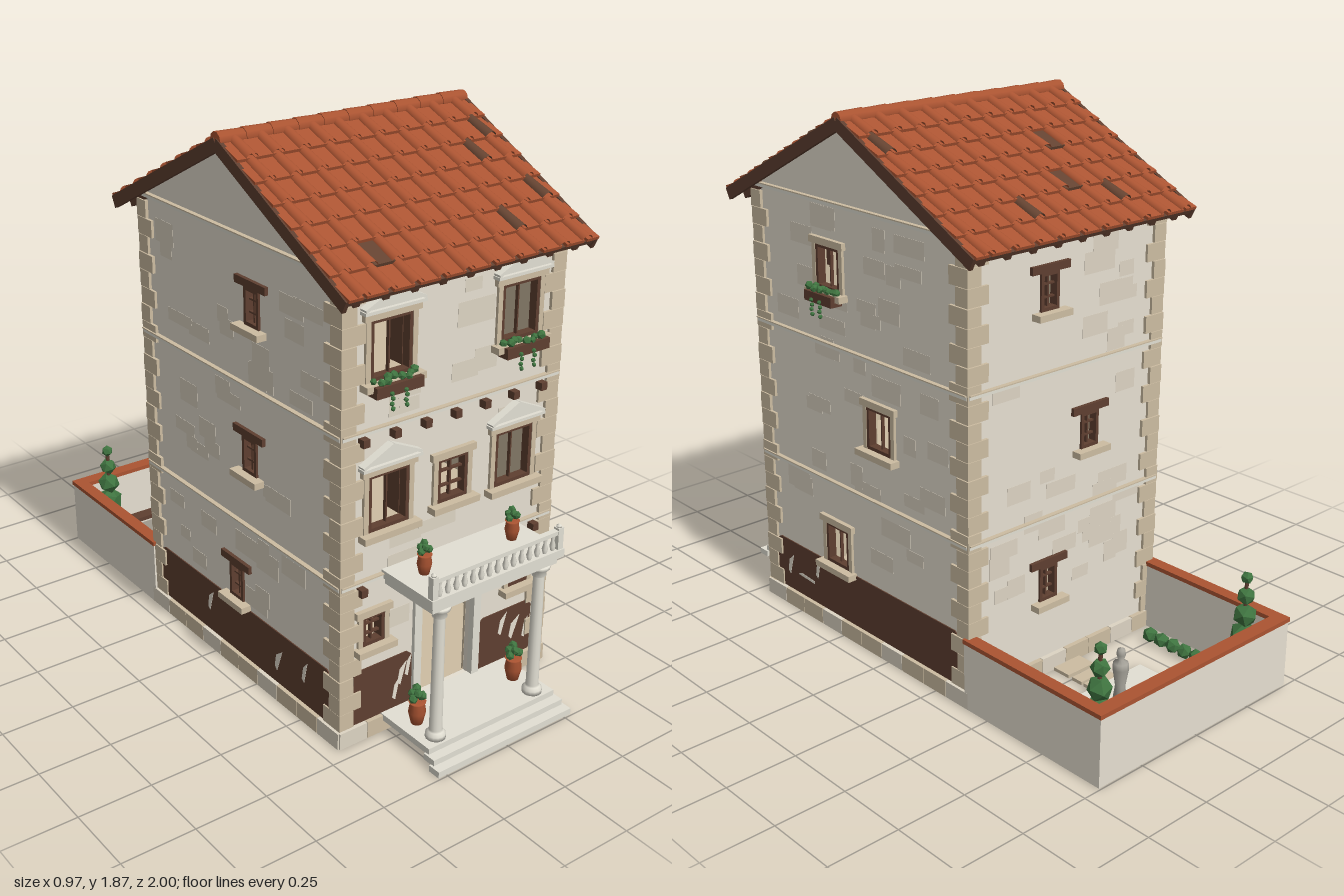
import * as THREE from 'three';

const mat = (name, color) => Object.assign(new THREE.MeshStandardMaterial({ color, side: THREE.DoubleSide }), { name });
const M = {
  plaster: mat('plaster', 0xe6dfd1), patch: mat('plaster patch', 0xddd4c3), stone: mat('sandstone', 0xcdbda2),
  marble: mat('pale stone', 0xe2dfd3), tile: mat('terracotta', 0xab5432), oldTile: mat('weathered tile', 0x654331),
  wood: mat('dark wood', 0x5f3f30), floor: mat('dark floor', 0x3c2922), leaf: mat('foliage', 0x3f7440), grey: mat('grey stone', 0xa8a59c),
};
let seed = 7;
const rnd = () => (seed = (seed * 16807) % 2147483647) / 2147483647;

function add(parent, name, geo, m, x = 0, y = 0, z = 0) {
  const mesh = new THREE.Mesh(geo, m);
  mesh.name = name;
  mesh.position.set(x, y, z);
  parent.add(mesh);
  return mesh;
}
const box = (p, name, m, w, h, d, x, y, z) => add(p, name, new THREE.BoxGeometry(w, h, d), m, x, y, z);
// box given by its extents
const span = (p, name, m, x0, x1, y0, y1, z0, z1) =>
  box(p, name, m, x1 - x0, y1 - y0, z1 - z0, (x0 + x1) / 2, (y0 + y1) / 2, (z0 + z1) / 2);
const poly = pts => new THREE.Shape(pts.map(([x, y]) => new THREE.Vector2(x, y)));
const plate = (p, name, m, pts, depth, z) => add(p, name, new THREE.ExtrudeGeometry(poly(pts), { depth, bevelEnabled: false }), m, 0, 0, z);
const leafBall = (p, r, x, y, z) => add(p, 'foliage', new THREE.IcosahedronGeometry(r, 0), M.leaf, x, y, z).rotation.set(rnd() * 3, rnd() * 3, 0);
const lathe = (p, name, m, pts, x, y, z, n = 12) =>
  add(p, name, new THREE.LatheGeometry(pts.map(([r, h]) => new THREE.Vector2(r, h)), n), m, x, y, z);

const HX = 0.425, HZ = 0.545, CZ = 0.145, PITCH = 0.475, EAVE = 1.54;
const APEX = EAVE + HZ * Math.tan(PITCH);

// ---- windows, in wall space: x along the wall, z outward ----
function flowerBox(p, x, y, w) {
  box(p, 'flowerBox', M.wood, w, 0.035, 0.045, x, y, 0.03);
  for (let i = 0; i < 9; i++) leafBall(p, 0.011 + rnd() * 0.005, x + (i / 8 - 0.5) * w * 0.9, y + 0.022 + rnd() * 0.008, 0.03 + (rnd() - 0.5) * 0.03);
  for (const dx of [-0.2, 0.1]) for (let j = 0; j < 4; j++) leafBall(p, 0.008, x + dx * w + (j % 2) * 0.004, y - 0.008 - j * 0.016, 0.056);
}

function windowUnit(wall, o) {
  const g = new THREE.Group();
  g.name = 'window';
  g.position.set(o.x, o.y, 0);
  wall.add(g);
  const w = o.w / 2, h = o.h / 2, t = 0.012;
  for (const s of [-1, 1]) {
    box(g, 'frameSide', M.wood, t, o.h, 0.03, s * (w - t / 2), 0, -0.007);
    box(g, 'frameRail', M.wood, o.w, t, 0.03, 0, s * (h - t / 2), -0.007);
    if (o.style !== 'rustic') box(g, 'jamb', M.stone, 0.018, o.h, 0.012, s * (w + 0.009), 0, 0.004);
  }
  if (o.style === 'rustic') box(g, 'lintel', M.wood, o.w + 0.085, 0.026, 0.02, 0, h + 0.013, 0.003);
  else box(g, 'lintel', M.stone, o.w + 0.055, 0.024, 0.02, 0, h + 0.012, 0.006);
  box(g, 'sill', M.stone, o.w + 0.065, 0.022, 0.045, 0, -h - 0.011, 0.014);
  // lattice or a plain centre bar
  box(g, 'mullion', M.wood, o.lattice ? 0.007 : 0.005, o.h, 0.012, 0, 0, -0.01);
  if (o.lattice) for (const f of [-0.17, 0.17]) box(g, 'glazingBar', M.wood, o.w, 0.006, 0.012, 0, f * o.h, -0.01);
  // shutter folded inward
  if (o.shutter) box(g, 'openShutter', M.wood, 0.008, o.h - 0.02, 0.07, o.shutter * (w - 0.008), 0, -0.06);
  if (o.pediment) {
    const a = w + 0.03, b = h + 0.024;
    plate(g, 'pediment', M.marble, [[-a, b], [a, b], [a, b + 0.012], [0, b + 0.062], [-a, b + 0.012]], 0.016, 0);
    for (const s of [-1, 1]) {
      const r = box(g, 'pedimentMoulding', M.marble, Math.hypot(a, 0.05) + 0.006, 0.01, 0.028, s * a / 2, b + 0.04, 0.014);
      r.rotation.z = -s * Math.atan2(0.05, a);
    }
    box(g, 'pedimentBase', M.marble, 2 * a + 0.01, 0.01, 0.028, 0, b + 0.005, 0.014);
  }
  if (o.flowers) flowerBox(g, 0, -h - 0.02, o.w + 0.02);
}

// ---- one complete facade ----
function facade(root, name, half, gable, rot, x, z, wins, door) {
  const g = new THREE.Group();
  g.name = name;
  g.position.set(x, 0, z);
  g.rotation.y = rot;
  root.add(g);
  const holes = wins.map(o => [o.x - o.w / 2, o.x + o.w / 2, o.y - o.h / 2, o.y + o.h / 2]);
  if (door) holes.push([-0.11, 0.11, 0.06, 0.475]);
  const outline = [[-half, 0.01], [half, 0.01], [half, EAVE]];
  if (gable) outline.push([0, APEX]);
  outline.push([-half, EAVE]);
  const layer = (n, m, depth, dz) => {
    const s = poly(outline);
    for (const [a, b, c, d] of holes) s.holes.push(poly([[a, c], [a, d], [b, d], [b, c]]));
    add(g, n, new THREE.ExtrudeGeometry(s, { depth, bevelEnabled: false }), m, 0, 0, dz);
  };
  layer('outerWall', M.plaster, 0.028, -0.028);
  layer('innerWall', M.stone, 0.008, -0.037);
  wins.forEach(o => windowUnit(g, o));
  // faded plaster patches
  for (let i = 0; i < 42; i++) {
    const w = 0.06 + rnd() * 0.09, h = 0.04 + rnd() * 0.04, px = (rnd() - 0.5) * 2 * (half - 0.13), py = 0.3 + rnd() * 1.2;
    if (holes.every(([a, b, c, d]) => px + w / 2 < a || px - w / 2 > b || py + h / 2 < c || py - h / 2 > d))
      box(g, 'plasterPatch', M.patch, w, h, 0.001, px, py, 0.0003 + i * 0.00001);
  }
  // storey bands
  for (const y of [0.568, 1.065, 1.548]) {
    box(g, 'storeyBand', M.marble, 2 * half + 0.01, 0.014, 0.02, 0, y, 0.002);
    box(g, 'storeyBandLip', M.stone, 2 * half + 0.01, 0.004, 0.028, 0, y + 0.007, 0.002);
  }
  // plinth blocks
  const n = Math.round(half * 18);
  for (let i = 0; i < n; i++) {
    const w = (2 * half + 0.024) / n;
    box(g, 'plinthBlock', i % 3 ? M.stone : M.patch, w - 0.002, 0.058, 0.045, -half - 0.012 + w * (i + 0.5), 0.029, -0.006);
  }
  return g;
}

// exposed lower wall with ragged top and surviving plaster chips
function bareWall(g, x0, x1, chips) {
  plate(g, 'bareWall', M.wood, [[x0, 0.06], [x1, 0.06], [x1, 0.235], [x1 - 0.02, 0.252], [x0 + 0.02, 0.252], [x0, 0.24]], 0.004, 0);
  for (const [x, y, s] of chips)
    plate(g, 'plasterChip', M.plaster, [[x, y], [x + 0.012, y - 0.01 * s], [x + 0.03 * s, y + 0.07], [x + 0.008, y + 0.045]], 0.0055, 0);
}

function pot(p, x, y, z, k) {
  lathe(p, 'pot', M.tile, [[0, 0], [0.016 * k, 0], [0.024 * k, 0.035 * k], [0.02 * k, 0.06 * k], [0.024 * k, 0.066 * k], [0, 0.064 * k]], x, y, z);
  for (let i = 0; i < 6; i++) leafBall(p, 0.013 * k, x + Math.cos(i * 1.05) * 0.014 * k, y + (0.077 + (i % 3) * 0.01) * k, z + Math.sin(i * 1.05) * 0.014 * k);
}

function roof(root) {
  // weathered tiles as column,row (columns counted from -x)
  const oldPans = { '1': ['2,5'], '-1': ['4,4', '3,2'] };
  const oldCovers = { '1': ['7,5', '8,2', '9,1', '9,4'], '-1': ['2,5', '6,5', '9,1'] };
  const L = 0.62 / Math.cos(PITCH), rows = 7, step = L / rows, pitch = 0.0945;
  const cover = new THREE.CylinderGeometry(0.023, 0.018, step + 0.012, 8, 1, true, Math.PI / 2, Math.PI).rotateX(Math.PI / 2);
  const pan = new THREE.BoxGeometry(0.074, 0.01, step + 0.012), edgePan = new THREE.BoxGeometry(0.05, 0.01, step + 0.012);
  for (const s of [1, -1]) {
    const turn = new THREE.Group(), g = new THREE.Group();
    turn.name = s > 0 ? 'frontRoof' : 'backRoof';
    turn.position.set(0, APEX, CZ);
    turn.rotation.y = s > 0 ? 0 : Math.PI;
    g.rotation.x = PITCH;
    turn.add(g);
    root.add(turn);
    span(g, 'roofDeck', M.wood, -0.475, 0.475, 0, 0.014, 0, L);
    for (const e of [-1, 1]) box(g, 'bargeBoard', M.wood, 0.014, 0.042, L + 0.01, e * 0.476, 0.004, L / 2);
    for (let r = 0; r < rows; r++) for (let c = 0; c <= 10; c++) {
      const zc = (r + 0.5) * step + 0.004, edge = c % 10 === 0;
      const tint = list => list[s].includes(c + ',' + r) ? M.oldTile : M.tile;
      add(g, 'panTile', edge ? edgePan : pan, tint(oldPans), s * (edge ? Math.sign(c - 5) * 0.452 : (c - 5) * pitch), 0.022, zc).rotation.x = -0.13;
      if (c < 10) add(g, 'coverTile', cover, tint(oldCovers), s * (c - 4.5) * pitch, 0.022, zc).rotation.x = -0.1;
    }
    for (let i = 0; i < 9; i++) box(g, 'rafterTail', M.wood, 0.022, 0.026, 0.12, (i - 4) * 0.105, -0.012, L - 0.07);
  }
  for (let i = 0; i < 10; i++)
    add(root, 'ridgeTile', new THREE.CylinderGeometry(0.028, 0.025, 0.105, 10).rotateZ(Math.PI / 2), M.tile, (i - 4.5) * 0.095, APEX + 0.016, CZ);
}

function porch(p) {
  [[0.28, 0.95, 0.996, 0.022], [0.272, 0.915, 0.963, 0.042], [0.265, 0.68, 0.93, 0.062]].forEach(([hx, z0, z1, y]) =>
    span(p, 'porchStep', M.marble, -hx, hx, y - 0.022, y, z0, z1));
  span(p, 'balconySlab', M.marble, -0.255, 0.255, 0.53, 0.558, 0.68, 0.915);
  span(p, 'balconyCornice', M.marble, -0.27, 0.27, 0.558, 0.585, 0.68, 0.93);
  for (const s of [-1, 1]) {
    lathe(p, 'column', M.marble, [[0, 0], [0.033, 0], [0.033, 0.015], [0.025, 0.025], [0.021, 0.03], [0.018, 0.43], [0.024, 0.435],
      [0.021, 0.445], [0.034, 0.46], [0.034, 0.47], [0, 0.47]], s * 0.205, 0.062, 0.89, 14);
    box(p, 'balconyPost', M.marble, 0.022, 0.075, 0.022, s * 0.255, 0.622, 0.915);
    lathe(p, 'postFinial', M.marble, [[0, 0], [0.009, 0], [0.009, 0.006], [0, 0.012]], s * 0.255, 0.659, 0.915, 8);
    pot(p, s * 0.205, 0.062, 0.8, 1.2);
    pot(p, s * 0.18, 0.585, 0.785, 1);
    // door surround
    span(p, 'doorPilaster', M.marble, s > 0 ? 0.11 : -0.14, s > 0 ? 0.14 : -0.11, 0.06, 0.475, 0.68, 0.703);
  }
  span(p, 'openDoorLeaf', M.wood, -0.11, -0.1, 0.06, 0.465, 0.46, 0.66);
  span(p, 'doorLintel', M.marble, -0.16, 0.16, 0.475, 0.53, 0.68, 0.708);
  span(p, 'balustradeRail', M.marble, -0.26, 0.26, 0.638, 0.652, 0.905, 0.925);
  for (let i = 0; i < 15; i++)
    lathe(p, 'baluster', M.marble, [[0.006, 0], [0.01, 0.016], [0.005, 0.035], [0.008, 0.054]], (i - 7) * 0.033, 0.585, 0.915, 8);
}

function garden(p) {
  const wall = (x0, x1, z0, z1) => {
    span(p, 'gardenWall', M.plaster, x0, x1, 0, 0.235, z0, z1);
    span(p, 'wallCoping', M.tile, x0 - 0.004, x1 + 0.004, 0.235, 0.25, z0 - 0.004, z1 + 0.004);
  };
  wall(-0.441, -0.404, -0.996, -0.395);
  wall(0.404, 0.441, -0.996, -0.395);
  wall(-0.404, 0.404, -0.996, -0.954);
  [[-0.9, -0.845], [-0.83, -0.79], [-0.6, -0.56], [-0.55, -0.505], [-0.49, -0.42]].forEach(([a, b]) => span(p, 'pathSlab', M.stone, -0.06, 0.06, 0, 0.012, a, b));
  span(p, 'pavedTerrace', M.marble, -0.165, 0.165, 0, 0.016, -0.79, -0.605);
  span(p, 'benchSeat', M.wood, -0.31, -0.12, 0.07, 0.085, -0.9, -0.85);
  for (const x of [-0.29, -0.14]) box(p, 'benchLeg', M.wood, 0.016, 0.07, 0.04, x, 0.035, -0.875);
  // statue on pedestal
  box(p, 'pedestal', M.marble, 0.07, 0.14, 0.07, 0.215, 0.07, -0.862);
  lathe(p, 'statue', M.grey, [[0, 0], [0.024, 0], [0.016, 0.06], [0.026, 0.12], [0.024, 0.14], [0.009, 0.15], [0.015, 0.168], [0.012, 0.185], [0, 0.19]], 0.215, 0.14, -0.862, 10);
  for (const s of [-1, 1]) {
    add(p, 'topiaryStem', new THREE.CylinderGeometry(0.007, 0.007, 0.38, 6), M.wood, s * 0.342, 0.19, -0.895);
    [[0.058, 0.1], [0.05, 0.18], [0.042, 0.255], [0.032, 0.325], [0.022, 0.39]].forEach(([r, y]) => leafBall(p, r, s * 0.342, y, -0.895));
    for (let i = 0; i < 5; i++) leafBall(p, 0.028, s * 0.33, 0.025, -0.71 + i * 0.052);
  }
}

export function createModel() {
  const root = new THREE.Group(), b = new THREE.Group();
  root.name = 'townhouse';
  b.position.x = -0.004;
  root.add(b);
  const big = { w: 0.155, h: 0.19 }, mid = { w: 0.125, h: 0.15 }, small = { w: 0.078, h: 0.125, lattice: true, style: 'rustic' };
  const frontWins = [{ x: 0, y: 0.82, w: 0.12, h: 0.15, lattice: true }];
  for (const s of [-1, 1]) frontWins.push({ ...big, x: s * 0.252, y: 1.315, pediment: true, flowers: true, shutter: -s },
    { ...big, x: s * 0.252, y: 0.825, pediment: true, shutter: -s }, { x: s * 0.302, y: 0.39, w: 0.085, h: 0.105, lattice: true });
  const front = facade(b, 'frontFacade', HX, false, 0, 0, CZ + HZ, frontWins, true);
  facade(b, 'backFacade', HX, false, Math.PI, 0, CZ - HZ, [[-0.08, 0.335], [0.1, 0.83], [-0.09, 1.335]].map(([x, y]) => ({ ...small, x, y })));
  const right = facade(b, 'rightFacade', HZ, true, Math.PI / 2, HX, CZ,
    [{ ...mid, x: -0.135, y: 1.33, flowers: true }, { ...mid, x: 0.115, y: 0.83 }, { ...mid, x: -0.13, y: 0.335 }]);
  const left = facade(b, 'leftFacade', HZ, true, -Math.PI / 2, -HX, CZ, [[-0.015, 0.335], [0.075, 0.83], [0.1, 1.335]].map(([x, y]) => ({ ...small, x, y })));
  bareWall(front, -0.375, -0.142, [[-0.22, 0.1, 1], [-0.2, 0.15, 1.2], [-0.17, 0.17, 0.9]]);
  bareWall(front, 0.142, 0.375, [[0.23, 0.17, 1.2], [0.28, 0.14, 1.5], [0.34, 0.12, 0.8]]);
  bareWall(right, -0.5, 0.5, [[-0.44, 0.13, 1.2], [-0.27, 0.17, 1]]);
  plate(right, 'plasterChip', M.plaster, [[-0.38, 0.135], [-0.28, 0.13], [-0.28, 0.14], [-0.36, 0.145]], 0.0055, 0);
  bareWall(left, -0.5, 0.5, [[-0.2, 0.15, 1.2], [0.2, 0.12, 1.4], [0.35, 0.15, 1]]);

  // alternating corner quoins
  for (const sx of [-1, 1]) for (const sz of [-1, 1]) for (let i = 0; i < 24; i++) {
    const a = i % 2 ? 0.085 : 0.055, c = i % 2 ? 0.055 : 0.085, e = 0.009 + (i % 3) * 0.001;
    box(b, 'quoin', M.stone, a, 0.059, c, sx * (HX + e - a / 2), 0.09 + i * 0.0612, CZ + sz * (HZ + e - c / 2));
  }
  // beam ends under the storey bands
  for (const y of [0.54, 1.04]) for (let i = -3; i <= 3; i++) box(front, 'beamEnd', M.wood, 0.024, 0.026, 0.04, i * 0.118, y, 0.008);

  // floors and table
  span(b, 'baseSlab', M.floor, -HX, HX, 0.002, 0.03, CZ - HZ, CZ + HZ);
  for (const y of [0.05, 0.56, 1.055, 1.53]) box(b, 'floorSlab', M.stone, 2 * HX - 0.07, 0.018, 2 * HZ - 0.07, 0, y, CZ);
  box(b, 'tableTop', M.wood, 0.14, 0.012, 0.1, 0.035, 0.185, 0.2);
  for (const sx of [-1, 1]) for (const sz of [-1, 1]) box(b, 'tableLeg', M.wood, 0.01, 0.125, 0.01, 0.035 + sx * 0.06, 0.12, 0.2 + sz * 0.04);
  lathe(b, 'bowl', M.wood, [[0, 0], [0.012, 0], [0.026, 0.016]], 0.02, 0.191, 0.2);

  roof(b);
  porch(b);
  garden(b);
  return root;
}
